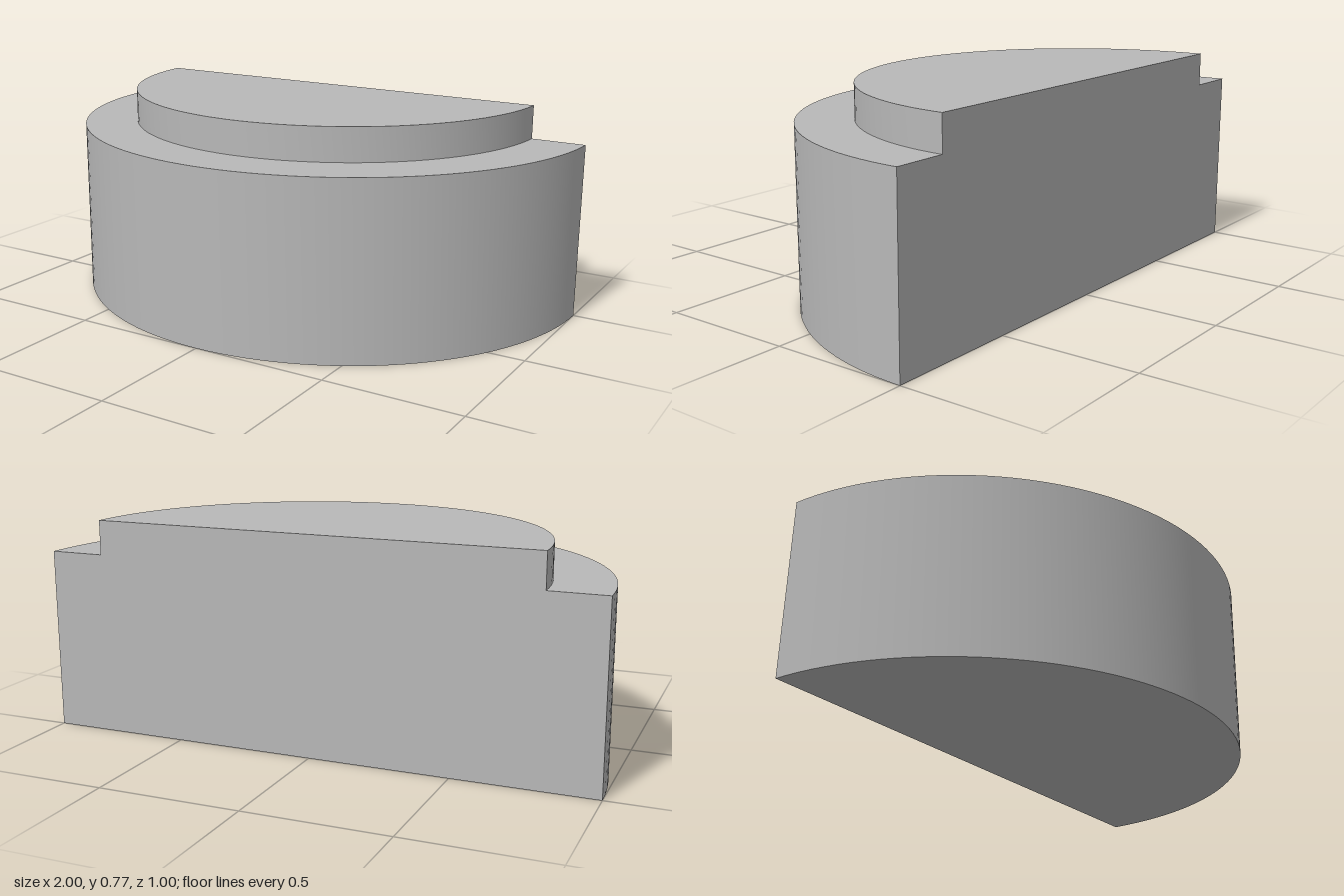
import * as THREE from 'three';
import { toCreasedNormals } from 'three/addons/utils/BufferGeometryUtils.js';

const BODY_R = 1, STEP_R = 0.8, BODY_H = 0.647, TOP_H = 0.77, BACK_Z = -0.5;

const grey = new THREE.MeshStandardMaterial({ color: 0xb8b8b8 });
grey.name = 'grey';

// Half turn of a profile, bulging towards the front
function halfTurn(name, profile) {
  const points = profile.map(([r, y]) => new THREE.Vector2(r, y));
  const lathe = new THREE.LatheGeometry(points, 64, -Math.PI / 2, Math.PI);
  const mesh = new THREE.Mesh(toCreasedNormals(lathe, Math.PI / 6), grey);
  mesh.name = name;
  mesh.position.z = BACK_Z;
  return mesh;
}

export function createModel() {
  const model = new THREE.Group();
  model.name = 'steppedHalfDisc';

  // Wide lower half disc: underside, curved wall and ledge
  model.add(halfTurn('body', [[0, 0], [BODY_R, 0], [BODY_R, BODY_H], [STEP_R, BODY_H]]));

  // Narrower raised half disc: curved wall and top
  model.add(halfTurn('raisedStep', [[STEP_R, BODY_H], [STEP_R, TOP_H], [0, TOP_H]]));

  // Flat stepped wall closing the back
  const outline = new THREE.Shape([
    [-BODY_R, 0], [BODY_R, 0], [BODY_R, BODY_H], [STEP_R, BODY_H],
    [STEP_R, TOP_H], [-STEP_R, TOP_H], [-STEP_R, BODY_H], [-BODY_R, BODY_H],
  ].map(([x, y]) => new THREE.Vector2(x, y)));
  const back = new THREE.Mesh(new THREE.ShapeGeometry(outline), grey);
  back.name = 'backWall';
  back.rotation.y = Math.PI;
  back.position.z = BACK_Z;
  model.add(back);

  return model;
}
